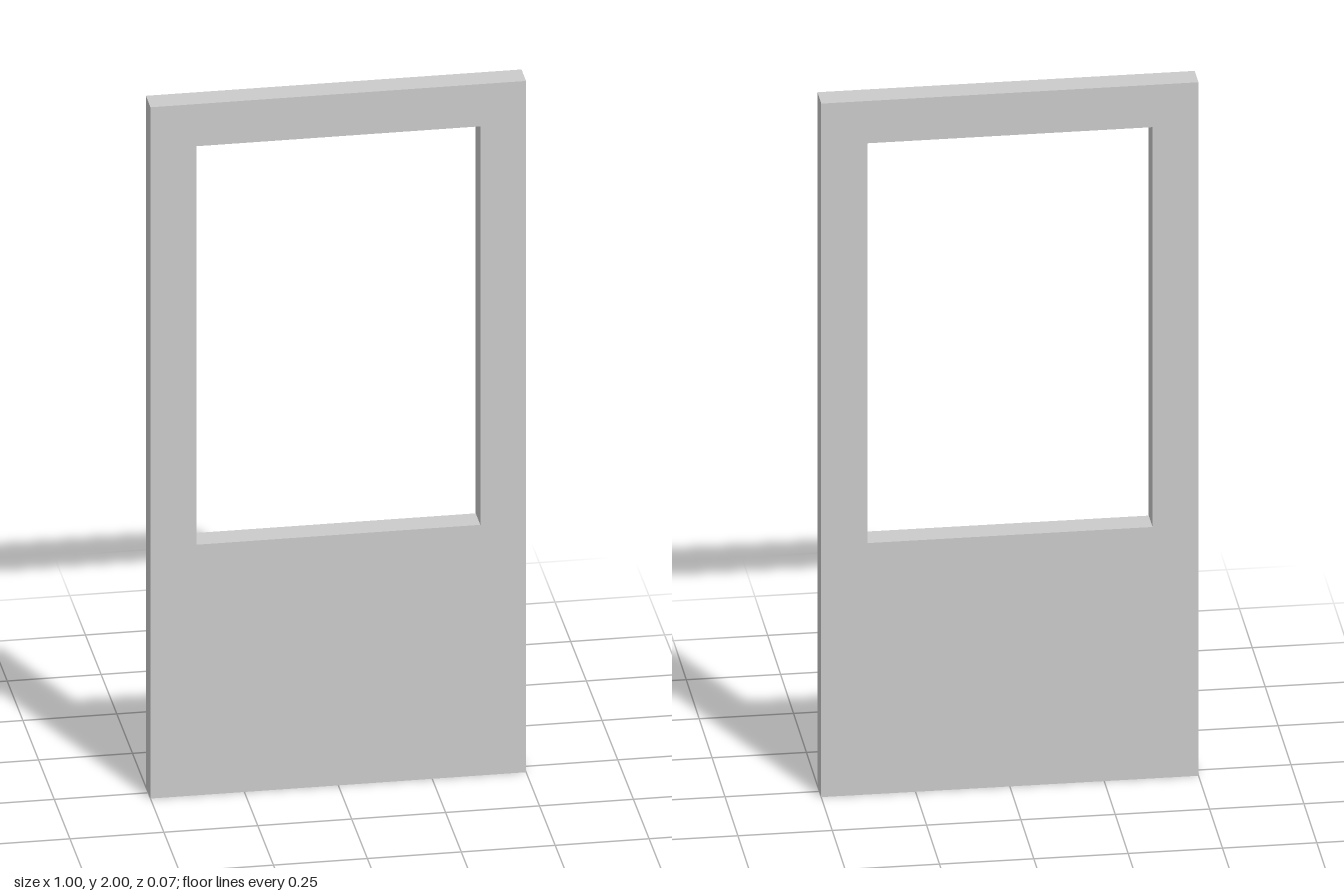
import * as THREE from 'three';

const WIDTH = 1, HEIGHT = 2, DEPTH = 0.073;
const OPENING = { halfWidth: 0.378, bottom: 0.725, top: 1.878 };

// Closed rectangle as a list of corners
function rectangle(halfWidth, bottom, top) {
  return [[-halfWidth, bottom], [halfWidth, bottom], [halfWidth, top], [-halfWidth, top]]
    .map(([x, y]) => new THREE.Vector2(x, y));
}

export function createModel() {
  const group = new THREE.Group();
  group.name = 'door';

  // Door slab with a rectangular window opening cut through it
  const outline = new THREE.Shape(rectangle(WIDTH / 2, 0, HEIGHT));
  outline.holes.push(new THREE.Path(rectangle(OPENING.halfWidth, OPENING.bottom, OPENING.top)));

  const geometry = new THREE.ExtrudeGeometry(outline, { depth: DEPTH, bevelEnabled: false });
  geometry.translate(0, 0, -DEPTH / 2);

  const panel = new THREE.Mesh(geometry, new THREE.MeshStandardMaterial({ color: 0xcccccc }));
  panel.name = 'doorPanel';
  group.add(panel);

  return group;
}
